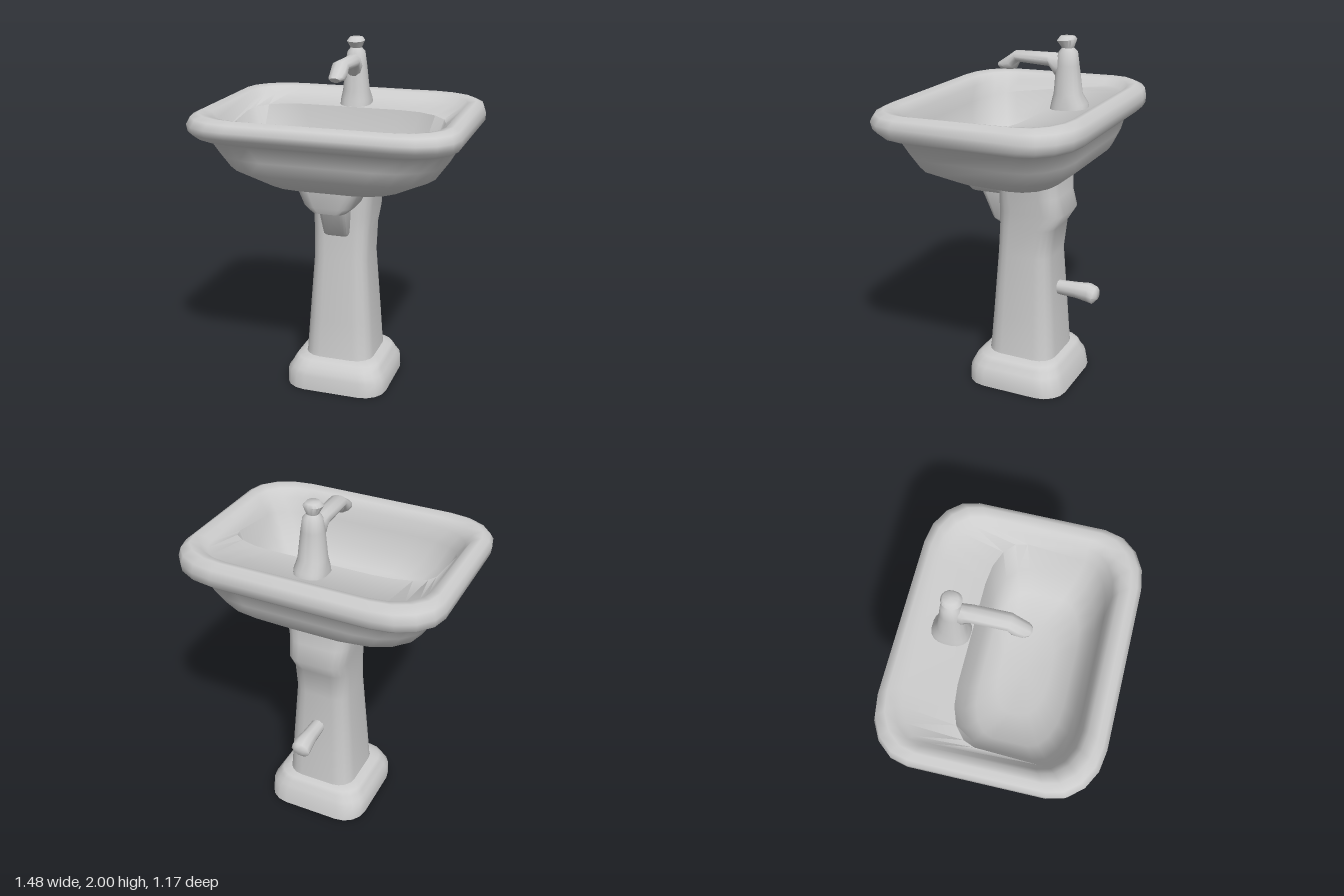
import * as THREE from 'three';
import { toCreasedNormals } from 'three/addons/utils/BufferGeometryUtils.js';

const CORNER_STEPS = 4;

// Level ring with rounded corners: front/back heights, half width, front/back z, roundness 0..1
function levelRing([yFront, yBack, hw, zFront, zBack, k]) {
  const pts = [];
  const mid = (zFront + zBack) / 2, hd = (zFront - zBack) / 2;
  for (let c = 0; c < 4; c++) {
    const sx = c === 0 || c === 3 ? 1 : -1, sz = c < 2 ? 1 : -1;
    for (let i = 0; i <= CORNER_STEPS; i++) {
      const a = (c + i / CORNER_STEPS) * Math.PI / 2;
      const x = hw * (sx * (1 - k) + k * Math.cos(a));
      const t = sz * (1 - k) + k * Math.sin(a);
      pts.push(new THREE.Vector3(x, THREE.MathUtils.lerp(yBack, yFront, (t + 1) / 2), mid + hd * t));
    }
  }
  return pts;
}

// Upright oval ring spanning a top and a bottom point in the side plane
function spanRing([zTop, yTop, zBot, yBot, hw]) {
  return Array.from({ length: 10 }, (_, i) => {
    const a = i / 10 * Math.PI * 2, s = (Math.sin(a) + 1) / 2;
    return new THREE.Vector3(hw * Math.cos(a),
      THREE.MathUtils.lerp(yTop, yBot, s), THREE.MathUtils.lerp(zTop, zBot, s));
  });
}

// Skin a closed solid over a list of rings
function loft(rings, crease = 1.0) {
  const n = rings[0].length, pos = [], index = [];
  rings.forEach(r => r.forEach(p => pos.push(p.x, p.y, p.z)));
  for (let j = 0; j < rings.length - 1; j++) {
    for (let i = 0; i < n; i++) {
      const a = j * n + i, b = j * n + (i + 1) % n;
      index.push(a, a + n, b, b, a + n, b + n);
    }
  }
  const cap = (j, flip) => {
    const c = rings[j].reduce((s, p) => s.add(p), new THREE.Vector3()).divideScalar(n);
    const ci = pos.length / 3;
    pos.push(c.x, c.y, c.z);
    for (let i = 0; i < n; i++) {
      const a = j * n + i, b = j * n + (i + 1) % n;
      if (flip) index.push(ci, a, b); else index.push(ci, b, a);
    }
  };
  cap(0, true);
  cap(rings.length - 1, false);
  const g = new THREE.BufferGeometry();
  g.setAttribute('position', new THREE.Float32BufferAttribute(pos, 3));
  g.setIndex(index);
  return toCreasedNormals(g, crease);
}

export function createModel() {
  const group = new THREE.Group();
  const ceramic = new THREE.MeshStandardMaterial({ color: 0xcccccc });
  ceramic.name = 'paleGreyCeramic';

  const add = (name, makeRing, rows, crease) => {
    const mesh = new THREE.Mesh(loft(rows.map(makeRing), crease), ceramic);
    mesh.name = name;
    group.add(mesh);
    return mesh;
  };

  // Basin: up the outside, over the rolled rim, across the rear deck and into the thin-walled bowl
  add('basin', levelRing, [
    [1.21, 1.21, 0.18, 0.16, -0.27, 0.7],
    [1.245, 1.235, 0.38, 0.29, -0.32, 0.6],
    [1.34, 1.34, 0.575, 0.40, -0.45, 0.55],
    [1.42, 1.42, 0.62, 0.43, -0.48, 0.5],
    [1.505, 1.515, 0.665, 0.455, -0.495, 0.45],
    [1.53, 1.535, 0.715, 0.53, -0.555, 0.42],
    [1.565, 1.56, 0.737, 0.57, -0.58, 0.4],
    [1.605, 1.60, 0.74, 0.583, -0.583, 0.4],
    [1.64, 1.65, 0.725, 0.56, -0.575, 0.4],
    [1.657, 1.675, 0.69, 0.525, -0.53, 0.4],
    [1.645, 1.665, 0.645, 0.475, -0.49, 0.4],
    [1.60, 1.63, 0.615, 0.445, -0.46, 0.4],
    [1.52, 1.615, 0.575, 0.425, -0.21, 0.5],
    [1.40, 1.42, 0.52, 0.39, -0.18, 0.55],
    [1.31, 1.32, 0.43, 0.32, -0.14, 0.6],
    [1.27, 1.27, 0.26, 0.21, -0.06, 0.8],
  ], 1.2);

  // Pedestal column with the bulge high on its back
  add('pedestal', levelRing, [
    [0.14, 0.14, 0.21, 0.11, -0.305, 0.5],
    [0.20, 0.20, 0.20, 0.10, -0.298, 0.5],
    [0.40, 0.40, 0.187, 0.085, -0.285, 0.5],
    [0.78, 0.78, 0.16, 0.06, -0.26, 0.5],
    [0.95, 0.95, 0.163, 0.05, -0.28, 0.5],
    [1.04, 1.04, 0.17, 0.05, -0.335, 0.5],
    [1.14, 1.14, 0.18, 0.05, -0.305, 0.5],
    [1.25, 1.25, 0.195, 0.05, -0.30, 0.5],
  ]);

  // Stepped foot
  add('foot', levelRing, [
    [0, 0, 0.30, 0.20, -0.39, 0.45],
    [0.085, 0.09, 0.298, 0.195, -0.372, 0.45],
    [0.11, 0.11, 0.28, 0.185, -0.36, 0.45],
    [0.14, 0.145, 0.265, 0.17, -0.345, 0.45],
    [0.165, 0.165, 0.25, 0.14, -0.33, 0.45],
    [0.18, 0.178, 0.21, 0.10, -0.30, 0.5],
  ]);

  // Drain housing under the front of the bowl
  add('drainHousing', levelRing, [
    [1.115, 1.12, 0.10, 0.25, 0.0, 0.5],
    [1.15, 1.15, 0.14, 0.262, 0.0, 0.5],
    [1.26, 1.24, 0.18, 0.272, 0.0, 0.4],
  ]);
  add('drainOutlet', levelRing, [
    [0.94, 0.93, 0.06, 0.09, 0.0, 0.4],
    [0.955, 0.95, 0.068, 0.115, 0.0, 0.4],
    [1.14, 1.14, 0.078, 0.20, 0.0, 0.4],
  ]);

  // Peg on the back of the column, from its flared tip inward
  add('backPeg', spanRing, [
    [-0.51, 0.595, -0.51, 0.54, 0.03],
    [-0.50, 0.61, -0.48, 0.507, 0.055],
    [-0.46, 0.625, -0.45, 0.515, 0.055],
    [-0.38, 0.618, -0.38, 0.525, 0.045],
    [-0.24, 0.61, -0.24, 0.53, 0.04],
  ]);

  // Tap: flared body with a small knob on top
  const body = add('tapBody', levelRing, [
    [1.60, 1.60, 0.09, -0.21, -0.42, 0.8],
    [1.65, 1.65, 0.085, -0.22, -0.41, 0.8],
    [1.70, 1.70, 0.075, -0.23, -0.38, 0.9],
    [1.85, 1.85, 0.06, -0.24, -0.36, 0.9],
    [1.915, 1.92, 0.05, -0.25, -0.35, 0.9],
    [1.94, 1.94, 0.032, -0.268, -0.33, 0.9],
    [1.975, 1.985, 0.05, -0.24, -0.345, 0.9],
    [2.0, 2.0, 0.035, -0.258, -0.335, 0.9],
  ]);

  // Spout reaching forward and bending down
  const spout = add('tapSpout', spanRing, [
    [-0.30, 1.91, -0.30, 1.76, 0.045],
    [-0.24, 1.91, -0.235, 1.785, 0.05],
    [-0.20, 1.908, -0.205, 1.835, 0.05],
    [0.0, 1.905, -0.02, 1.845, 0.05],
    [0.05, 1.87, 0.0, 1.805, 0.05],
    [0.095, 1.84, 0.03, 1.80, 0.045],
    [0.105, 1.83, 0.075, 1.80, 0.03],
  ]);
  body.position.x = spout.position.x = -0.005;

  return group;
}
